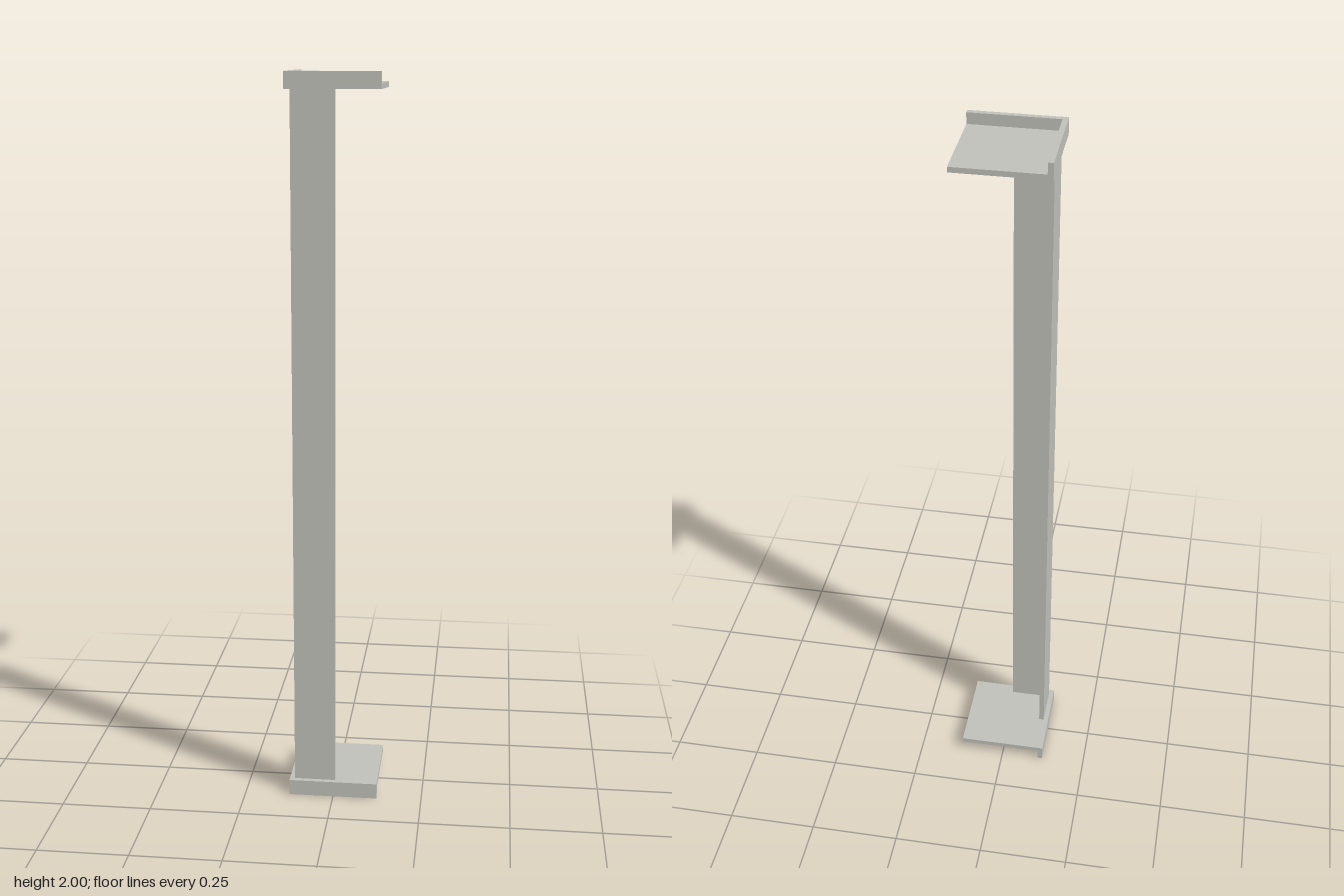
import * as THREE from 'three';

const HALF = 0.124;   // half width of the end plates
const T = 0.014;      // sheet thickness
const CAP = 0.044;    // height of each end cap
const HEIGHT = 2;

// L-shaped section with its corner at (-x, +z), extruded upwards from y0 to y1
function angleBar(corner, end, y0, y1, material, name) {
  const c = corner, i = corner - T;
  const shape = new THREE.Shape([
    [-c, -c], [end, -c], [end, -i], [-i, -i], [-i, end], [-c, end],
  ].map(([x, y]) => new THREE.Vector2(x, y)));
  const geometry = new THREE.ExtrudeGeometry(shape, { depth: y1 - y0, bevelEnabled: false });
  geometry.rotateX(-Math.PI / 2).translate(0, y0, 0);
  const mesh = new THREE.Mesh(geometry, material);
  mesh.name = name;
  return mesh;
}

// End cap: a square plate with a lip along its left-hand and front edges
function endCap(name, y0, plateY, material) {
  const group = new THREE.Group();
  group.name = name;
  const size = 2 * HALF - T;
  const plate = new THREE.Mesh(new THREE.BoxGeometry(size, T, size), material);
  plate.name = 'plate';
  plate.position.set(T / 2, plateY, -T / 2);
  group.add(plate, angleBar(HALF, HALF, y0, y0 + CAP, material, 'lip'));
  return group;
}

export function createModel() {
  const steel = new THREE.MeshStandardMaterial({ color: 0xc0c0ba });
  steel.name = 'grey steel';

  const model = new THREE.Group();
  model.name = 'angle post';
  model.add(
    // Lips hang down at the foot and stand up at the head
    endCap('footCap', 0, CAP - T / 2, steel),
    endCap('headCap', HEIGHT - CAP, HEIGHT - CAP + T / 2, steel),
    // Upright between the two plates
    angleBar(HALF - T, 0.005, CAP, HEIGHT - CAP, steel, 'post'),
  );
  return model;
}
